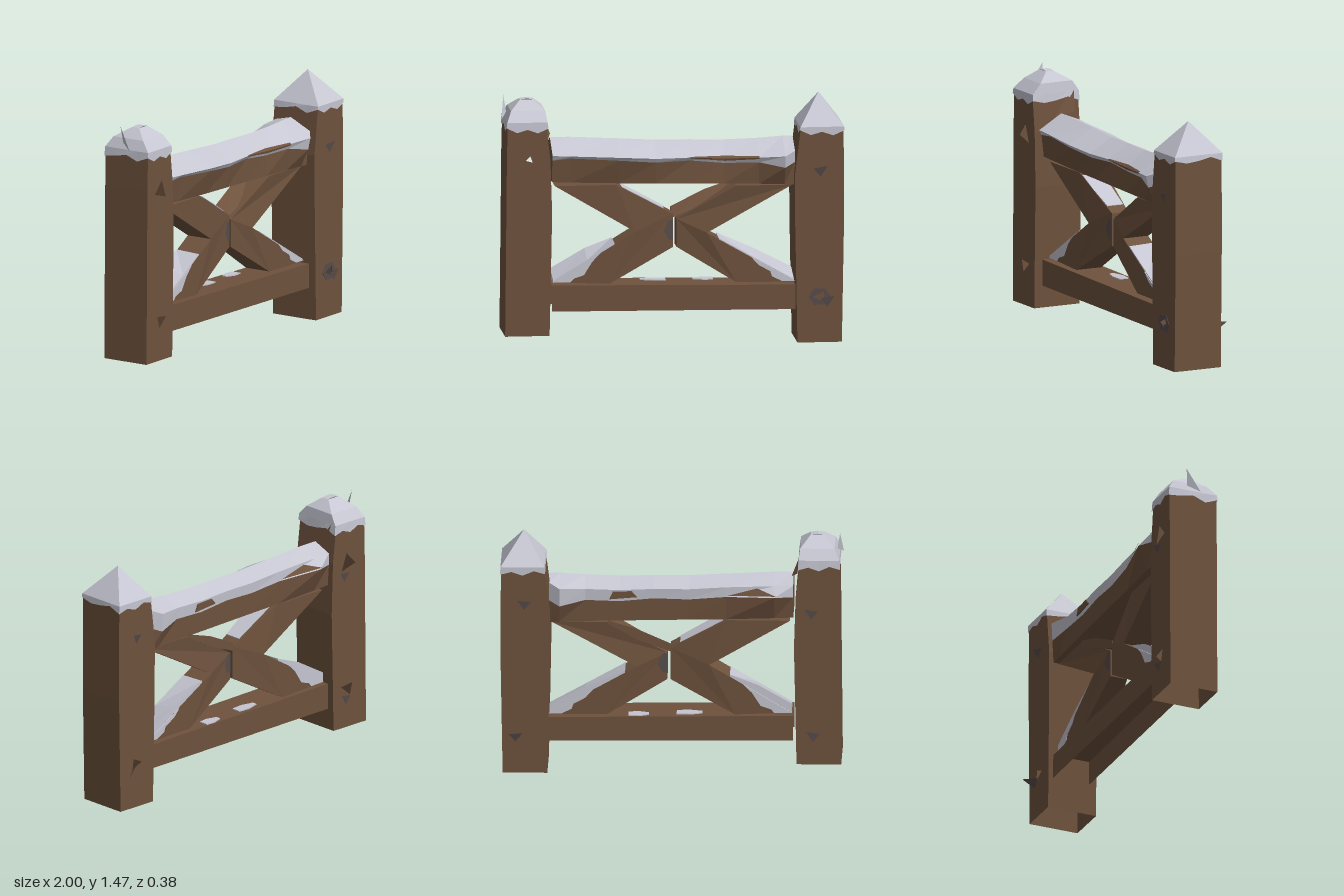
import * as THREE from 'three';

const mat = (name, color) => {
  const m = new THREE.MeshStandardMaterial({ color, side: THREE.DoubleSide, flatShading: true });
  m.name = name;
  return m;
};

export function createModel() {
  const wood = mat('wood', 0x6e523d);
  const snow = mat('snow', 0xc6c6d2);
  const iron = mat('iron', 0x574c4c);
  const model = new THREE.Group();
  model.name = 'snowyFence';

  const add = (name, geo, material) => {
    const mesh = new THREE.Mesh(geo, material);
    mesh.name = name;
    model.add(mesh);
    return mesh;
  };

  // Skins closed loops of [x, y, z]; side(k) picks the material of loop edge k, -1 leaves it open
  function loft(name, rings, materials, side = () => 0, capped = true) {
    const lists = materials.map(() => []);
    const n = rings[0].length;
    for (let i = 0; i < rings.length - 1; i++) {
      for (let k = 0; k < n; k++) {
        if (side(k) < 0) continue;
        const a = rings[i][k], b = rings[i][(k + 1) % n];
        const c = rings[i + 1][(k + 1) % n], d = rings[i + 1][k];
        lists[side(k)].push(...a, ...b, ...c, ...a, ...c, ...d);
      }
    }
    if (capped) {
      const last = rings[rings.length - 1];
      for (let k = 1; k < n - 1; k++) {
        lists[0].push(...rings[0][0], ...rings[0][k + 1], ...rings[0][k]);
        lists[0].push(...last[0], ...last[k], ...last[k + 1]);
      }
    }
    const geo = new THREE.BufferGeometry();
    geo.setAttribute('position', new THREE.Float32BufferAttribute(lists.flat(), 3));
    let start = 0;
    lists.forEach((l, i) => { geo.addGroup(start, l.length / 3, i); start += l.length / 3; });
    geo.computeVertexNormals();
    return add(name, geo, materials);
  }

  // Flat outlines with optional holes
  const outline = pts => pts.map(([x, y]) => new THREE.Vector2(x, y));
  function makeShape(pts, holes = []) {
    const shape = new THREE.Shape(outline(pts));
    holes.forEach(h => shape.holes.push(new THREE.Path(outline(h))));
    return shape;
  }
  function slab(name, pts, z0, z1, material, holes) {
    const geo = new THREE.ExtrudeGeometry(makeShape(pts, holes), { depth: z1 - z0, bevelEnabled: false });
    return add(name, geo.translate(0, 0, z0), material);
  }

  // Loose triangular splinter
  function splinter(name, pts, material) {
    const geo = new THREE.BufferGeometry();
    geo.setAttribute('position', new THREE.Float32BufferAttribute(pts.flat(), 3));
    geo.computeVertexNormals();
    return add(name, geo, material);
  }

  // Hollow post, open underneath: rows of [y, x0, x1], pierced front and back faces
  function post(name, rows, z0, z1, holes) {
    loft(name + 'Sides', rows.map(([y, x0, x1]) => [[x0, y, z0], [x0, y, z1], [x1, y, z1], [x1, y, z0]]),
      [wood], k => (k % 2 ? -1 : 0), false);
    const face = [...rows.map(([y, x0]) => [x0, y]), ...rows.map(([y, , x1]) => [x1, y]).reverse()];
    for (const [part, z] of [['Front', z1], ['Back', z0]]) {
      add(name + part, new THREE.ShapeGeometry(makeShape(face, holes)).translate(0, 0, z), wood);
    }
  }

  // Rectangular ring with four steps per side; drop(k) lowers single points
  function ring([x0, x1, z0, z1, y], drop = () => 0) {
    const corners = [[x0, z1], [x1, z1], [x1, z0], [x0, z0]];
    return Array.from({ length: 16 }, (_, k) => {
      const a = corners[k >> 2], b = corners[((k >> 2) + 1) % 4], t = (k % 4) / 4;
      return [a[0] + (b[0] - a[0]) * t, y - drop(k), a[1] + (b[1] - a[1]) * t];
    });
  }
  const ragged = k => [0, 0.03, 0.012, 0.034, 0.006, 0.024, 0.016][k % 7];

  // Posts
  const upperHole = [[-0.905, 1.08], [-0.835, 1.155], [-0.795, 1.05]];
  const lowerHole = [[-0.88, 0.345], [-0.79, 0.335], [-0.86, 0.275]];
  const smallHole = [[0.81, 0.28], [0.875, 0.31], [0.885, 0.245]];
  post('rightSidePost', [[0.08, -0.99, -0.73], [0.8, -0.983, -0.715], [1.12, -0.98, -0.725], [1.33, -0.975, -0.75]],
    -0.128, 0.172, [upperHole, lowerHole]);
  post('leftSidePost', [[0.01, 0.72, 0.98], [0.7, 0.707, 0.992], [1, 0.705, 0.992], [1.28, 0.74, 0.99]],
    -0.13, 0.176, [smallHole]);

  // Snow caps: flat-topped on one post, pointed on the other
  loft('rightSideSnowCap', [
    ring([-0.982, -0.737, -0.133, 0.177, 1.315], ragged),
    ring([-0.978, -0.742, -0.13, 0.175, 1.345]),
    ring([-0.95, -0.75, -0.09, 0.12, 1.405]),
    ring([-0.89, -0.81, 0, 0.05, 1.46]),
  ], [snow], undefined, false);
  loft('leftSideSnowCap', [
    ring([0.733, 0.995, -0.134, 0.18, 1.268], ragged),
    ring([0.737, 0.993, -0.134, 0.18, 1.285]),
    ring([0.86, 0.86, 0.02, 0.02, 1.465]),
  ], [snow], undefined, false);
  loft('capTop', [[-0.89, 1.46], [-0.85, 1.465], [-0.81, 1.46]].map(([x, y]) => [[x, y, 0], [x, y, 0.05]]), [snow], undefined, false);
  splinter('capSplinter', [[-1, 1.34, 0.06], [-0.965, 1.38, -0.01], [-0.98, 1.48, -0.02]], snow);
  splinter('innerSplinter', [[-0.75, 1.37, -0.1], [-0.7, 1.23, -0.08], [-0.73, 1.2, 0.04]], wood);

  // Top rail: x, bottom, snow line, shoulder, ridge, front z, back z, back wood z
  const stations = [
    [-0.71, 0.98, 1.11, 1.14, 1.225, 0.15, -0.11, -0.11],
    [-0.6, 0.975, 1.12, 1.135, 1.225, 0.15, -0.105, -0.155],
    [-0.32, 0.965, 1.105, 1.125, 1.21, 0.17, -0.105, -0.105],
    [-0.1, 0.96, 1.085, 1.11, 1.197, 0.15, -0.105, -0.1],
    [0.1, 0.955, 1.09, 1.11, 1.195, 0.13, -0.105, -0.1],
    [0.3, 0.95, 1.07, 1.1, 1.19, 0.125, -0.105, -0.1],
    [0.5, 0.945, 1.075, 1.105, 1.195, 0.15, -0.105, -0.1],
    [0.65, 0.94, 1.045, 1.115, 1.205, 0.185, -0.14, -0.135],
    [0.71, 0.935, 1.07, 1.14, 1.205, 0.14, -0.1, -0.1],
  ];
  loft('topRail', stations.map(([x, b, line, sh, top, f, r, rw]) => [
    [x, b, -0.1], [x, b, 0.12], [x, line, f - 0.015], [x, sh, f],
    [x, top, 0.005], [x, sh + 0.04, r], [x, line, rw],
  ]), [wood, snow], k => (k >= 2 && k <= 5 ? 1 : 0));

  // Bare wood showing through the rail snow
  loft('barePatch', stations.slice(4, 7).map(([x, , , sh, , f], i) => {
    const h = [0.004, 0.014, 0.008][i];
    return [[x, sh - h, f + 0.001], [x, sh, f + 0.004], [x, sh + h, f - h * 1.3 + 0.004]];
  }), [wood], k => (k === 2 ? -1 : 0), false);
  slab('backBarePatch', [[0.2, 1.1], [0.36, 1.085], [0.34, 1.13], [0.23, 1.135]], -0.113, -0.105, wood);
  splinter('backBareKnot', [[-0.61, 1.13, -0.16], [-0.33, 1.115, -0.112], [-0.5, 1.165, -0.118]], wood);

  // Bottom rail, open underneath
  loft('bottomRail', [[-0.71, 0.215, 0.37], [0.715, 0.2, 0.345]].map(([x, b, t]) => [
    [x, b, -0.1], [x, b, 0.13], [x, t, 0.13], [x, t, -0.1],
  ]), [wood], k => (k === 0 ? -1 : 0), false);
  for (const [x0, x1, z] of [[-0.18, -0.03, -0.04], [0.13, 0.25, -0.06]]) {
    loft('bottomRailSnow', [x0, (x0 + x1) / 2, x1].map((x, i) => {
      const w = [0.015, 0.035, 0.03][i], y = 0.358 - x * 0.018;
      return [[x, y, z - w], [x, y, z + w], [x, y + 0.006, z + w], [x, y + 0.006, z - w]];
    }), [snow]);
  }

  // Cross braces: two V-shaped halves, thinner where they meet in the middle
  function brace(name, pts) {
    const p = slab(name, pts, -0.075, 0.09, wood).geometry.attributes.position;
    for (let i = 0; i < p.count; i++) {
      if (Math.abs(p.getX(i)) < 0.03) p.setZ(i, p.getZ(i) * 0.65);
    }
  }
  brace('rightSideBrace', [[-0.69, 0.95], [-0.33, 0.95], [0.005, 0.765], [0.005, 0.57], [-0.37, 0.365], [-0.7, 0.38], [-0.22, 0.67]]);
  brace('leftSideBrace', [[0.37, 0.93], [0.7, 0.93], [0.2, 0.655], [0.72, 0.355], [0.37, 0.36], [0.025, 0.57], [0.025, 0.735]]);
  loft('braceRidge', [[0, 0.74, 0.79, -0.05], [0.2, 0.82, 0.885, -0.065], [0.37, 0.92, 0.94, -0.075]].map(([x, a, b, z]) => [
    [x, a, z], [x, a, 0.04], [x, b, z],
  ]), [wood]);

  // Snow lying on the slopes of the braces
  const drift = (name, ends) => loft(name, ends.map(([x, y, h]) => [
    [x, y - 0.01, 0.088], [x, y + 0.004, 0.088], [x, y + h, -0.07], [x, y - 0.01, -0.07],
  ]), [snow]);
  drift('rightSideDrift', [[-0.7, 0.385, 0.05], [-0.5, 0.505, 0.045], [-0.34, 0.6, 0.01]]);
  drift('leftSideDrift', [[0.71, 0.365, 0.05], [0.5, 0.485, 0.04], [0.27, 0.617, 0.01]]);
  loft('upperDrift', [[-0.3, 0.936, 0.086], [-0.18, 0.87, 0.078], [-0.05, 0.798, 0.06]].map(([x, y, z]) => [
    [x, y, z], [x, y + 0.004, z], [x, y + 0.004, -0.045], [x, y, -0.045],
  ]), [snow]);

  // Ragged snow on the lower brace tips, front and back
  const tips = {
    rightSideTipSnow: [[-0.7, 0.38], [-0.6, 0.377], [-0.58, 0.4], [-0.52, 0.42], [-0.47, 0.5], [-0.42, 0.55]],
    leftSideTipSnow: [[0.715, 0.36], [0.46, 0.505], [0.5, 0.46], [0.57, 0.42], [0.58, 0.39], [0.64, 0.36]],
  };
  for (const [name, pts] of Object.entries(tips)) {
    slab(name, pts, 0.086, 0.093, snow);
    slab(name + 'Back', pts, -0.078, -0.071, snow);
  }

  // Iron plates: at the crossing and around the small post hole
  const crossing = [[-0.05, 0.67], [-0.025, 0.62], [0.005, 0.61], [0.005, 0.73], [-0.025, 0.73]];
  const plate = (name, flip, z0, z1) => splinter(name, [0, 1, 2].flatMap(i =>
    [crossing[0], crossing[i + 1], crossing[i + 2]].map(([x, y]) =>
      [flip ? 0.03 - x : x, y, z1 + (z0 - z1) * (0.005 - x) / 0.055])), iron);
  plate('crossingPlate', false, 0.071, 0.064);
  plate('crossingPlateBack', true, -0.06, -0.054);
  const rim = (x, y, rx, ry) => [0, 1, 2, 3, 4, 5].map(i =>
    [x + rx * Math.cos(i * Math.PI / 3), y + ry * Math.sin(i * Math.PI / 3)]);
  slab('lowerRim', rim(0.85, 0.28, 0.065, 0.055), 0.175, 0.179, iron, [smallHole]);

  // Bent nail heads on the posts: x, y, reach, face
  for (const [x, y, reach, z] of [
    [0.86, 1.02, 0.012, 0.178], [0.9, 0.25, 0.008, 0.18],
    [0.86, 1.05, -0.02, -0.132], [0.91, 0.235, -0.06, -0.132],
    [-0.81, 1.01, -0.01, -0.13], [-0.82, 0.25, -0.01, -0.13],
  ]) {
    splinter('bentNail', [[x - 0.045, y + 0.02, z], [x - 0.005, y - 0.03, z], [x + 0.035, y + 0.035, z + reach]], iron);
  }

  return model;
}
